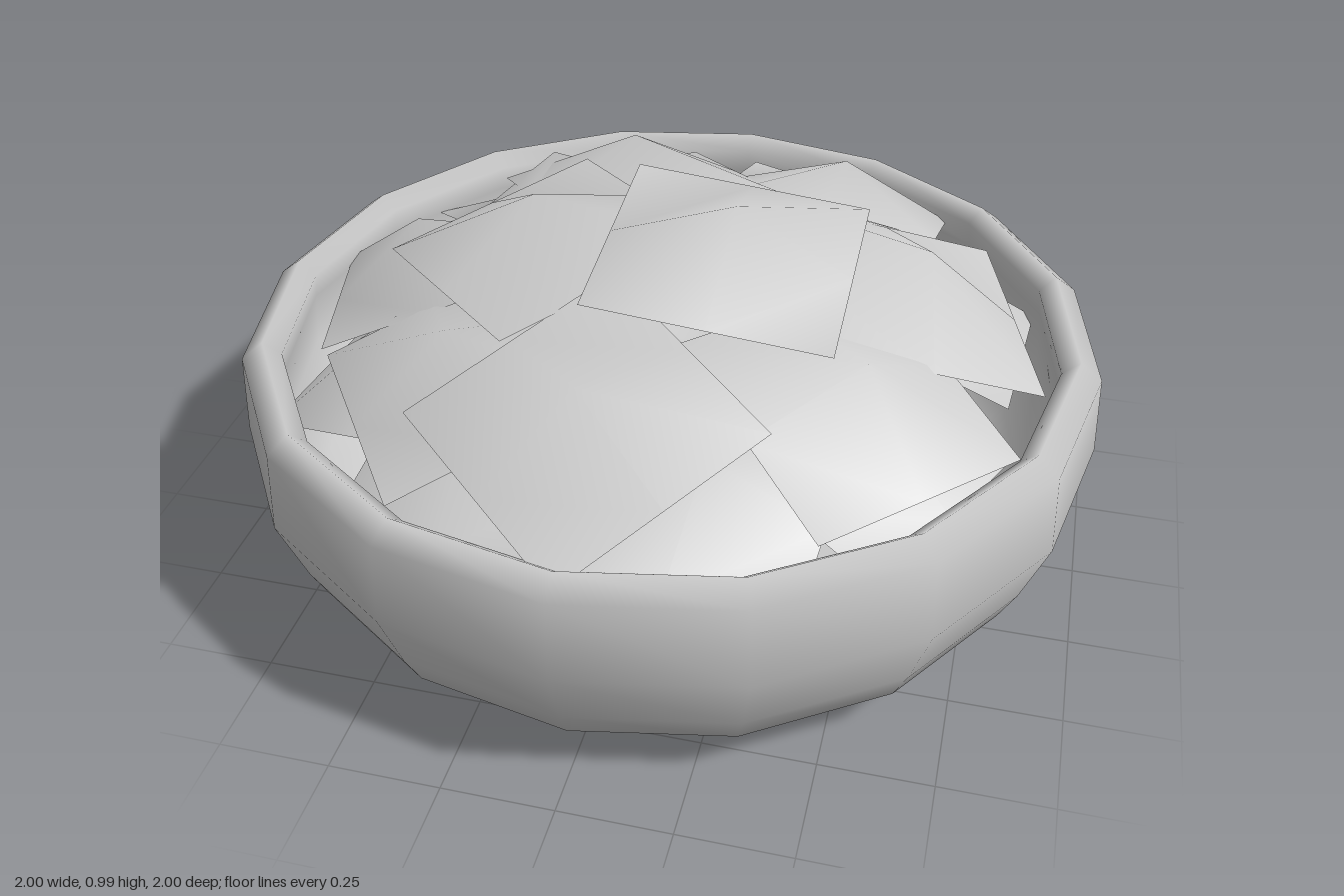
import * as THREE from 'three';

const grey = new THREE.MeshStandardMaterial({ color: 0xcccccc, side: THREE.DoubleSide });
grey.name = 'plain grey';

const SIDES = 16;
const CARD = 0.535; // crisp side
const BULGE = 0.128; // crisp height in the middle

// Revolves a profile of [radius, height] pairs into a 16-sided ring
function turned(name, profile) {
  const points = profile.map(([r, y]) => new THREE.Vector2(r, y));
  const mesh = new THREE.Mesh(new THREE.LatheGeometry(points, SIDES), grey);
  mesh.name = name;
  return mesh;
}

// Square crisp with straight edges and a raised middle
const crispGeometry = new THREE.PlaneGeometry(CARD, CARD, 2, 2).rotateX(-Math.PI / 2);
crispGeometry.attributes.position.setY(4, BULGE);
crispGeometry.computeVertexNormals();

// Places a crisp, leaning outward more the further it lies from the axis
function crisp([x, z, peak, yaw], name) {
  const mesh = new THREE.Mesh(crispGeometry, grey);
  const r = Math.hypot(x, z);
  const lean = 0.61 * r;
  mesh.rotation.y = -THREE.MathUtils.degToRad(yaw);
  mesh.rotateOnWorldAxis(new THREE.Vector3(z / r, 0, -x / r), lean);
  mesh.position.set(x, peak - BULGE * Math.cos(lean), z);
  mesh.name = name;
  return mesh;
}

export function createModel() {
  const model = new THREE.Group();
  model.name = 'bowlOfCrisps';

  // Bowl: outer wall, rounded rim and inside, with a recessed base
  const bowl = new THREE.Group();
  bowl.name = 'bowl';
  bowl.add(
    turned('bowlWall', [
      [0.57, 0], [0.77, 0.05], [0.9, 0.13], [0.94, 0.21], [1, 0.37], [0.99, 0.56], [0.94, 0.6],
      [0.9, 0.565], [0.91, 0.5], [0.92, 0.37], [0.85, 0.22], [0.74, 0.13], [0.56, 0.09], [0, 0.09],
    ]),
    turned('footRing', [[0.59, 0.07], [0.57, 0]]),
    turned('base', [[0, 0.07], [0.59, 0.07]]),
  );
  model.add(bowl);

  // Crisps: x, z, peak height, yaw in degrees
  const heap = new THREE.Group();
  heap.name = 'crisps';
  const crisps = [
    [0.17, 0.16, 0.99, -1], // top of the heap
    [-0.265, 0.1, 0.925, 43],
    [-0.18, -0.385, 0.828, 54],
    [0.19, -0.08, 0.88, 7],
    [0.3, -0.485, 0.765, 4],
    [0.545, -0.015, 0.828, 70],
    [-0.03, 0.615, 0.825, 40],
    [-0.4, -0.445, 0.72, -38],
    [-0.585, -0.03, 0.74, 73],
    [-0.365, 0.395, 0.75, 55],
    [0.47, 0.36, 0.785, 43],
    [0.56, -0.2, 0.68, 5],
    // lower layer
    [-0.28, 0.52, 0.64, 10],
    [0.2, 0.54, 0.64, 5],
    [-0.56, 0.2, 0.62, 20],
    [0.48, 0.3, 0.64, 25],
    [0.05, -0.3, 0.62, 15],
  ];
  crisps.forEach((c, i) => heap.add(crisp(c, 'crisp' + (i + 1))));
  model.add(heap);

  return model;
}
